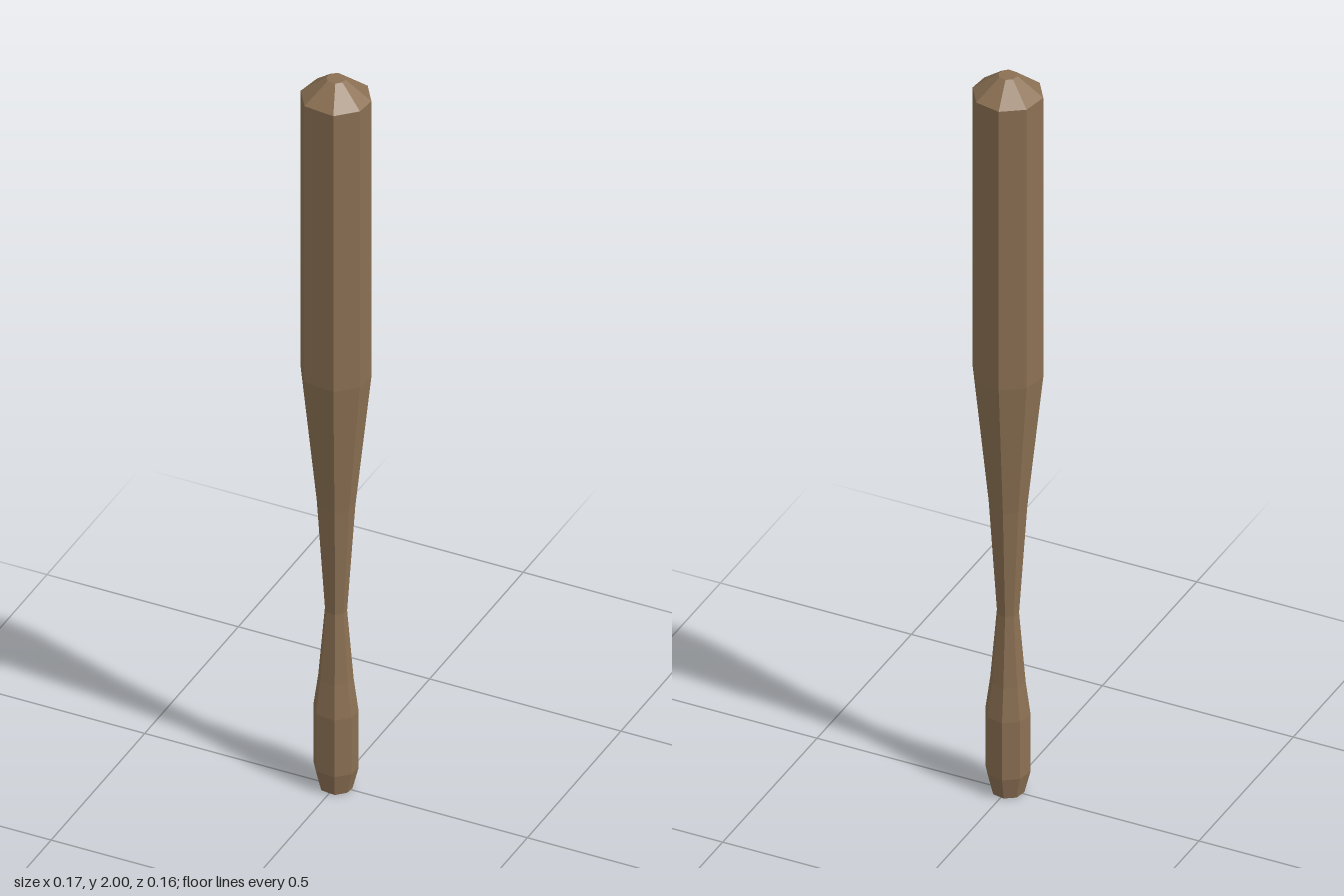
import * as THREE from 'three';

// Height and radius of each ring, from the butt to the tip
const PROFILE = [
  [0, 0], [0.04, 0], [0.055, 0.06], [0.055, 0.22], [0.043, 0.31], [0.027, 0.5],
  [0.047, 0.8], [0.068, 1.0], [0.086, 1.17], [0.086, 1.95], [0.023, 2], [0, 2],
];
// Slightly uneven, hand-carved facet edges (degrees around y, from +z towards +x)
const EDGES = [21.8, 66.7, 100.8, 146.1, 191.6, 236.9, 281.3, 326.3];

export function createModel() {
  const wood = new THREE.MeshStandardMaterial({ color: 0x8b7053, flatShading: true });
  wood.name = 'brown wood';

  const points = PROFILE.map(([r, y]) => new THREE.Vector2(r, y));
  const geometry = new THREE.LatheGeometry(points, EDGES.length);

  // Turn each lengthwise edge to its own angle
  const pos = geometry.attributes.position;
  for (let i = 0; i < pos.count; i++) {
    const edge = Math.floor(i / points.length) % EDGES.length;
    const { x: r, y } = points[i % points.length];
    const a = THREE.MathUtils.degToRad(EDGES[edge]);
    pos.setXYZ(i, r * Math.sin(a), y, r * Math.cos(a));
  }
  const faceted = geometry.toNonIndexed();
  faceted.computeVertexNormals();

  const club = new THREE.Mesh(faceted, wood);
  club.name = 'club';
  const group = new THREE.Group();
  group.name = 'woodenClub';
  group.add(club);
  return group;
}
